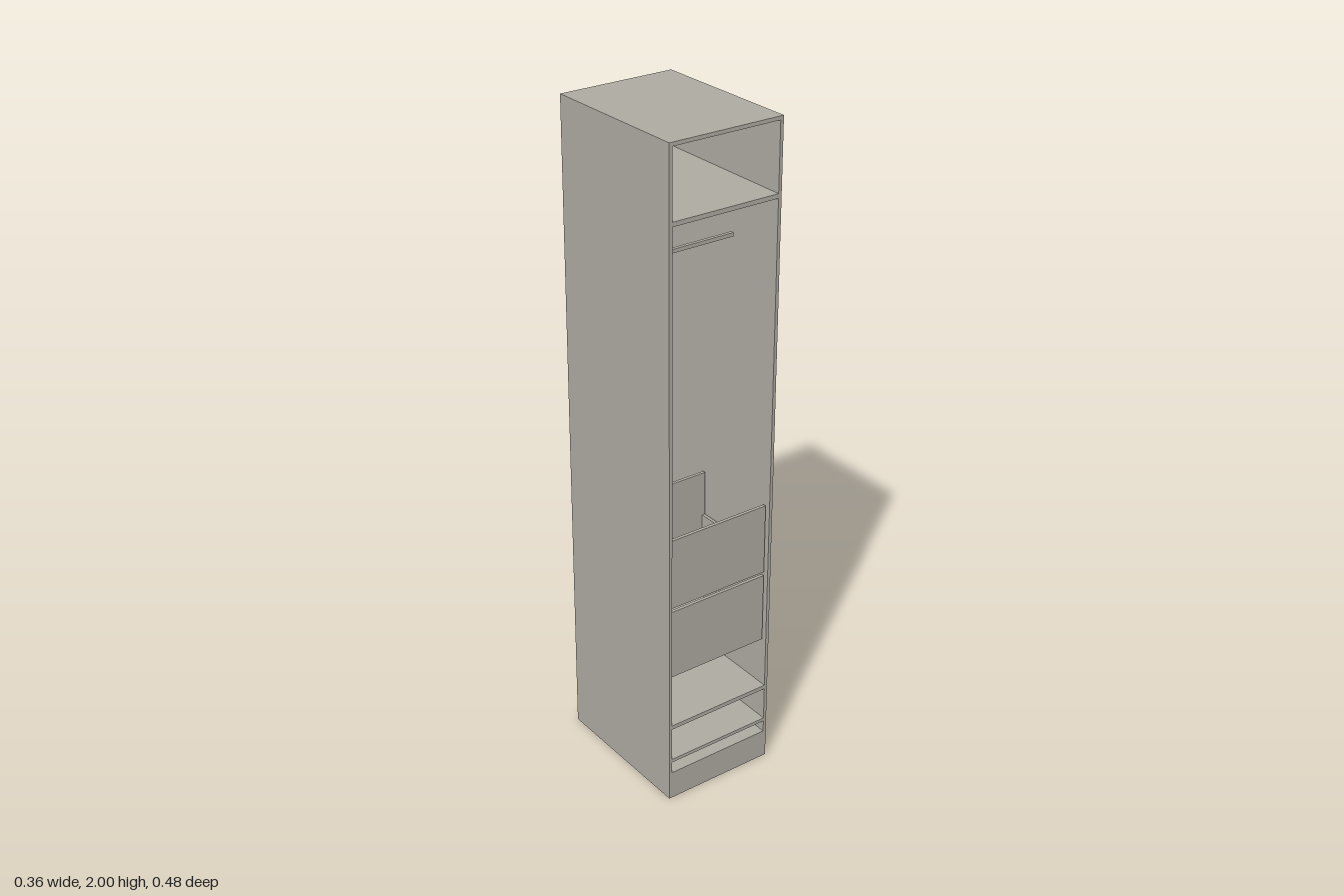
import * as THREE from 'three';

export function createModel() {
  const group = new THREE.Group();
  group.name = 'wardrobe';
  const board = new THREE.MeshStandardMaterial({ color: 0xaeaba2 });
  board.name = 'warm grey board';

  const W = 0.179, D = 0.24, BACK = 0.01;

  // Rectangle outline, used for the carcass and its openings
  const rect = (Type, x, y0, y1) => {
    const p = new Type();
    p.moveTo(-x, y0);
    p.lineTo(x, y0);
    p.lineTo(x, y1);
    p.lineTo(-x, y1);
    p.closePath();
    return p;
  };
  // Box given by its limits
  const box = (name, parent, x0, x1, y0, y1, z0, z1) => {
    const m = new THREE.Mesh(new THREE.BoxGeometry(x1 - x0, y1 - y0, z1 - z0), board);
    m.position.set((x0 + x1) / 2, (y0 + y1) / 2, (z0 + z1) / 2);
    m.name = name;
    parent.add(m);
  };

  // Carcass: sides, top, shelves and plinth around four open compartments
  const outline = rect(THREE.Shape, W, 0, 2);
  const openings = [[0.09, 0.127], [0.138, 0.244], [0.257, 1.78], [1.793, 1.989]];
  for (const [y0, y1] of openings) outline.holes.push(rect(THREE.Path, 0.169, y0, y1));
  const carcass = new THREE.Mesh(
    new THREE.ExtrudeGeometry(outline, { depth: 2 * D - BACK, bevelEnabled: false }), board);
  carcass.position.z = -D + BACK;
  carcass.name = 'carcass';
  group.add(carcass);
  box('backPanel', group, -W, W, 0, 2, -D, -D + BACK);

  // Hanging rail
  box('hangingRail', group, -0.153, 0.153, 1.627, 1.638, 0.066, 0.077);

  // Two drawers: tall front and back, low sides
  for (const y of [0.418, 0.648]) {
    const drawer = new THREE.Group();
    drawer.name = 'drawer';
    const x = 0.163;
    box('drawerFront', drawer, -x, x, y, y + 0.218, 0.22, 0.23);
    box('drawerBack', drawer, -x, x, y, y + 0.2, -0.06, -0.05);
    box('drawerBottom', drawer, -x, x, y, y + 0.01, -0.05, 0.22);
    for (const s of [-1, 1]) {
      const c = s * (x - 0.005);
      box('drawerSide', drawer, c - 0.005, c + 0.005, y + 0.01, y + 0.06, -0.05, 0.22);
    }
    group.add(drawer);
  }
  return group;
}
